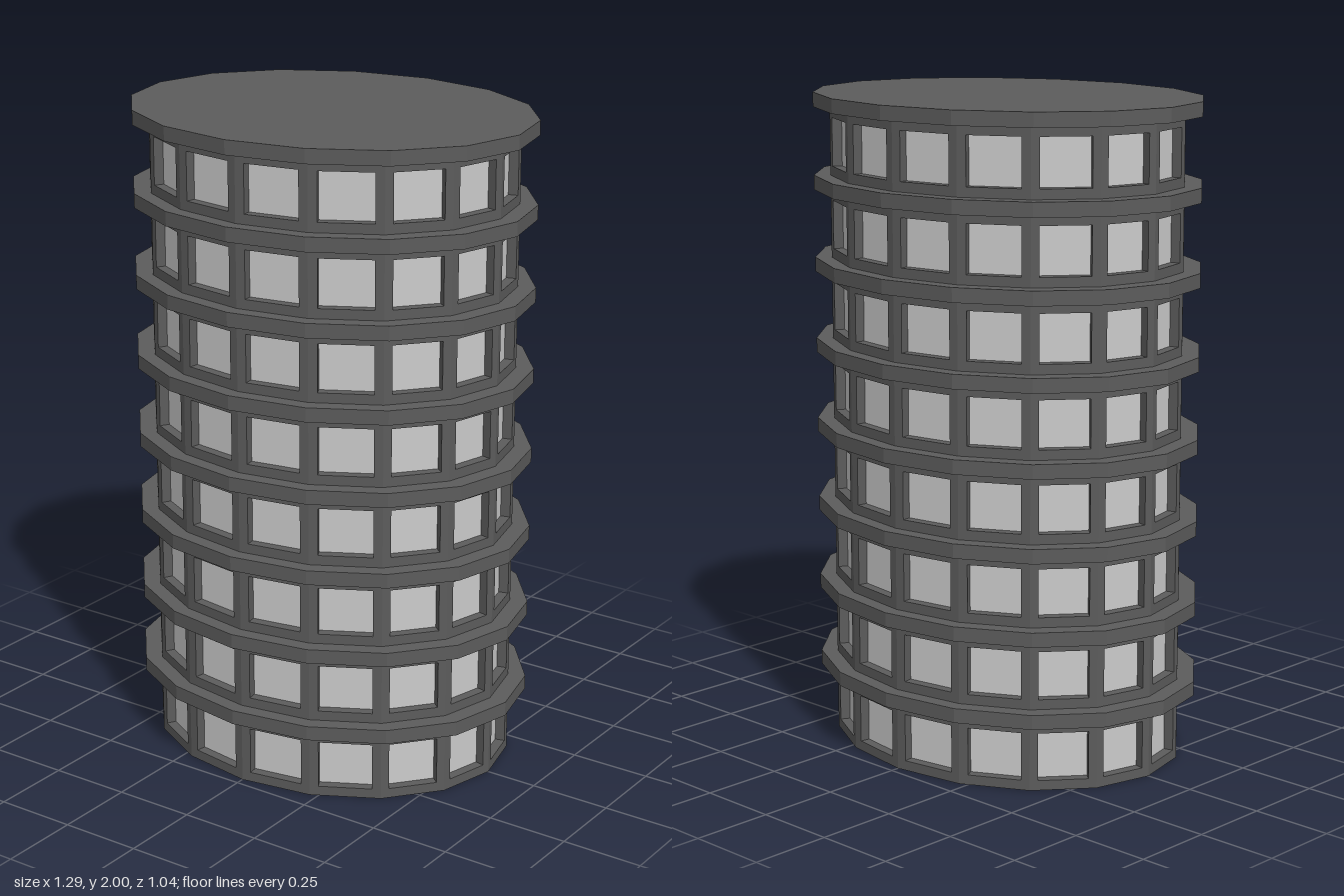
import * as THREE from 'three';
import { mergeGeometries } from 'three/addons/utils/BufferGeometryUtils.js';

const SIDES = 16, FLOORS = 8, FLOOR_H = 0.25, SLAB_H = 0.044;
const WALL_H = FLOOR_H - SLAB_H;
const WALL = { x: 0.588, z: 0.474 }, SLAB = { x: 0.643, z: 0.52 };
const RECESS = 0.03, SILL = 0.03, HEAD = 0.176;

const corner = (i) => {
  const a = (i / SIDES) * Math.PI * 2;
  return new THREE.Vector3(WALL.x * Math.sin(a), 0, WALL.z * Math.cos(a));
};

// One wall panel with a window opening, and the pane set back in it
function makeFacet(i) {
  const a = corner(i), b = corner(i + 1);
  const w = a.distanceTo(b), m = w * 0.125;
  const tangent = b.clone().sub(a).normalize();
  const up = new THREE.Vector3(0, 1, 0);
  const place = new THREE.Matrix4()
    .makeBasis(tangent, up, tangent.clone().cross(up))
    .setPosition(a);

  const rect = (T, x0, y0, x1, y1) => {
    const p = new T();
    p.moveTo(x0, y0).lineTo(x1, y0).lineTo(x1, y1).lineTo(x0, y1).closePath();
    return p;
  };
  const shape = rect(THREE.Shape, 0, 0, w, WALL_H);
  shape.holes.push(rect(THREE.Path, m, SILL, w - m, HEAD));
  const frame = new THREE.ExtrudeGeometry(shape, { depth: RECESS, bevelEnabled: false });
  frame.translate(0, 0, -RECESS).applyMatrix4(place);

  const pane = new THREE.PlaneGeometry(w - 2 * m, HEAD - SILL);
  pane.translate(w / 2, (SILL + HEAD) / 2, -RECESS).applyMatrix4(place);
  return { frame, pane };
}

export function createModel() {
  const dark = new THREE.MeshStandardMaterial({ color: 0x5c5c5c, flatShading: true });
  const light = new THREE.MeshStandardMaterial({ color: 0xcccccc, flatShading: true });

  const facets = Array.from({ length: SIDES }, (_, i) => makeFacet(i));
  const wallGeo = mergeGeometries(facets.map((f) => f.frame));
  const paneGeo = mergeGeometries(facets.map((f) => f.pane));
  const slabGeo = new THREE.CylinderGeometry(1, 1, SLAB_H, SIDES);
  slabGeo.scale(SLAB.x, 1, SLAB.z).translate(0, WALL_H + SLAB_H / 2, 0);

  const model = new THREE.Group();
  model.name = 'tower';
  const add = (parent, name, geo, mat) => {
    const mesh = new THREE.Mesh(geo, mat);
    mesh.name = name;
    parent.add(mesh);
  };

  // Stacked storeys
  for (let f = 0; f < FLOORS; f++) {
    const storey = new THREE.Group();
    storey.name = `storey${f + 1}`;
    storey.position.y = f * FLOOR_H;
    add(storey, 'windowWall', wallGeo, dark);
    add(storey, 'windowPanes', paneGeo, light);
    add(storey, 'floorSlab', slabGeo, dark);
    model.add(storey);
  }

  // Underside closing the bottom storey
  const base = new THREE.CircleGeometry(1, SIDES);
  base.rotateX(Math.PI / 2).scale(WALL.x, 1, WALL.z);
  add(model, 'base', base, dark);
  return model;
}
